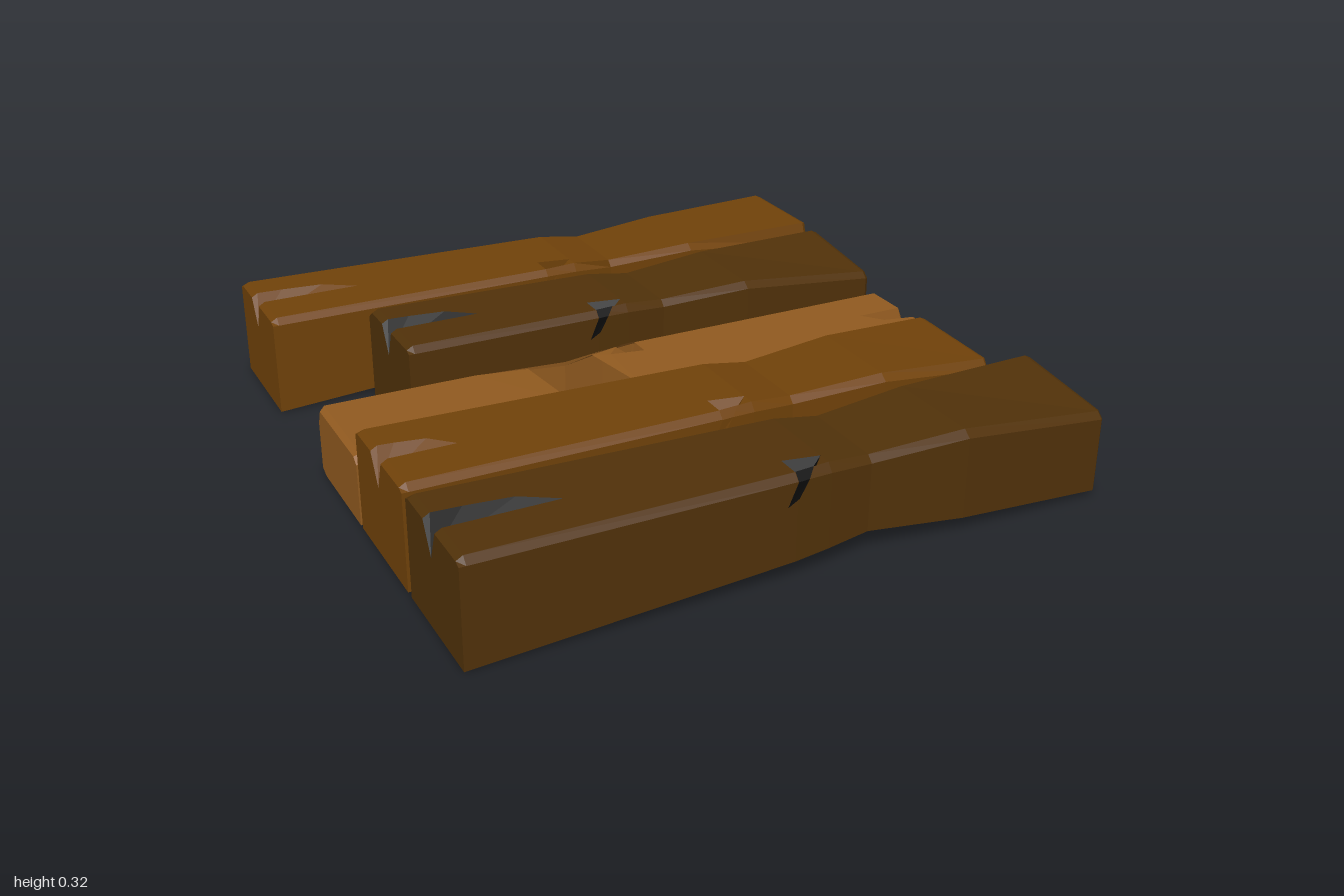
import * as THREE from 'three';

const mat = (name, color) => {
  const m = new THREE.MeshStandardMaterial({ color, side: THREE.DoubleSide, flatShading: true });
  m.name = name;
  return m;
};

// Plank shape along its length:
// [x, topY, backEdgeY, backInnerZ, frontZ, frontInnerZ, frontEdgeY, frontBottomY, bottomInnerZ]
const KEYS = [
  [-1.00, 0.32, 0.300, -0.170, 0.190, 0.170, 0.30, 0.000, 0.18],
  [-0.05, 0.32, 0.253, -0.130, 0.190, 0.170, 0.30, 0.057, 0.06],
  [0.06, 0.32, 0.247, -0.125, 0.180, 0.160, 0.295, 0.063, 0.04],
  [0.20, 0.30, 0.240, -0.120, 0.160, 0.140, 0.28, 0.070, 0.02],
  [0.50, 0.32, 0.262, -0.140, 0.190, 0.165, 0.30, 0.050, 0.08],
  [1.00, 0.32, 0.295, -0.170, 0.190, 0.170, 0.25, 0.020, 0.16],
];
const UP = new THREE.Vector3(0, 1, 0);
const v = (x, y, z) => new THREE.Vector3(x, y, z);

function keyAt(x) {
  let i = 0;
  while (i < KEYS.length - 2 && x > KEYS[i + 1][0]) i++;
  const a = KEYS[i], b = KEYS[i + 1], t = (x - a[0]) / (b[0] - a[0]);
  return a.map((n, k) => n + (b[k] - n) * t);
}

// Collects triangles, each turned to face the given outward direction
class Faces {
  constructor() { this.pos = []; }
  tri(a, b, c, out) {
    const n = b.clone().sub(a).cross(c.clone().sub(a));
    const order = n.dot(out) < 0 ? [a, c, b] : [a, b, c];
    order.forEach((p) => this.pos.push(p.x, p.y, p.z));
  }
  quad(a, b, c, d, out) { this.tri(a, b, c, out); this.tri(a, c, d, out); }
  // Outline of any shape, triangulated as seen along one axis
  poly(points, flat, out) {
    const ids = THREE.ShapeUtils.triangulateShape(points.map(flat), []);
    ids.forEach(([a, b, c]) => this.tri(points[a], points[b], points[c], out));
  }
  // Sunken pit: an open rim joined to a low point
  pit(rim, low) {
    for (let i = 0; i < rim.length - 1; i++) this.tri(rim[i], rim[i + 1], low, UP);
  }
  mesh(name, material) {
    const g = new THREE.BufferGeometry();
    g.setAttribute('position', new THREE.Float32BufferAttribute(this.pos, 3));
    g.computeVertexNormals();
    const m = new THREE.Mesh(g, material);
    m.name = name;
    return m;
  }
}

const flatXY = (p) => new THREE.Vector2(p.x, p.y);
const flatXZ = (p) => new THREE.Vector2(p.x, p.z);
const flatZY = (p) => new THREE.Vector2(p.z, p.y);

function makePlank({ name, x0, x1, crack, wood, crackWood, open = false, broken = false,
  endLift = 0, nearDrop = 0.012, crackDepth = 0.09, endDrop = [0, 0] }) {
  const group = new THREE.Group();
  group.name = name;
  const body = new Faces(), cracks = new Faces();
  const xb = x0 + 0.02, xe = x1 - 0.02;
  const openNick = open && !broken;

  // Cross-section from the bottom back edge over the top to the underside
  const topAt = (x) => keyAt(x)[1] - nearDrop * Math.max(0, (xb - x) / 0.02);
  const ring = (x) => {
    const [, , by, bz, fz, fi, fy, bf, bi] = keyAt(x);
    const lift = endLift * Math.max(0, (x - 0.2) / (x1 - 0.2));
    const [backTop, frontTop] = endDrop.map((d) => topAt(x) - d * Math.max(0, (x - 0.5) / (x1 - 0.5)));
    const widen = broken && x === 0.2 ? 0.018 : 0;
    return [v(x, lift, -0.19), v(x, Math.min(by, backTop), -0.19),
      v(x, backTop, bz - widen), v(x, frontTop, fi + widen),
      v(x, Math.min(fy, frontTop), fz), v(x, Math.max(bf, lift), fz), v(x, lift, bi)];
  };
  const back = (x) => ring(x)[2], front = (x) => ring(x)[3];
  const onTop = (x, z) => v(x, topAt(x), z);

  // Walls, edge bevels and underside
  const xs = [x0, xb, -0.05, 0.06, 0.2, 0.5, xe];
  const dirs = [v(0, 0, -1), v(0, 1, -1), UP, v(0, 1, 1), v(0, 0, 1), v(0, -1, 1), v(0, -1, 0)];
  for (let s = 0; s < xs.length - 1; s++) {
    const a = ring(xs[s]), b = ring(xs[s + 1]);
    for (let i = 0; i < 7; i++) {
      if (i === 2 || (i > 4 && open)) continue;
      const j = (i + 1) % 7;
      // A splinter is missing from the bevel beside an open nick
      if (openNick && i === 3 && xs[s] === 0.06) body.tri(a[3], a[4], b[4], dirs[i]);
      else body.quad(a[i], a[j], b[j], b[i], dirs[i]);
    }
  }

  // Bevelled far end
  const e = ring(xe);
  const cap = e.map((p, i) => v(x1, i > 0 && i < 5 ? p.y - 0.01 : p.y, p.z > 0.15 ? p.z - 0.02 : p.z));
  for (let i = 0; i < (open ? 5 : 7); i++) {
    const j = (i + 1) % 7;
    body.quad(e[i], e[j], cap[j], cap[i], v(0.5, 0, 0).add(dirs[i]));
  }
  body.poly(cap, flatZY, v(1, 0, 0));

  // End crack and edge nick, cut out of the top
  const low = v(x0, 0.32 - nearDrop - crackDepth, -0.01);
  const rimFront = onTop(x0, 0.025), rimBack = onTop(x0, -0.06);
  const rim = [onTop(xb, 0.025), onTop(x0 + crack, 0.025), onTop(x0 + crack * 0.7, -0.04),
    onTop(x0 + crack * 0.3, -0.055), onTop(xb, -0.06)];
  const nick = [front(0.02), onTop(0.06, 0.12), onTop(-0.05, 0.10), front(-0.05)];
  const stop = broken ? [back(0.07), front(0.11)] : [back(0.06), front(0.06)];
  body.poly([back(xb), back(-0.05), ...stop, ...nick, front(xb), ...rim], flatXZ, UP);
  body.quad(back(x0), back(xb), rim[4], rimBack, UP);
  body.quad(front(x0), front(xb), rim[0], rimFront, UP);
  cracks.pit([rimFront, ...rim, rimBack], low);
  if (!openNick) cracks.pit(nick, v(-0.04, 0.25, 0.165));

  // Rest of the top, with a wide gap when broken
  if (broken) {
    body.poly([back(0.30), back(0.5), back(xe), front(xe), front(0.5), front(0.33)], flatXZ, UP);
  } else {
    for (let s = 3; s < xs.length - 1; s++) {
      body.quad(back(xs[s]), front(xs[s]), front(xs[s + 1]), back(xs[s + 1]), UP);
    }
  }

  // Near end with the crack showing as a notch
  const r = ring(x0);
  body.poly([r[0], r[1], r[2], rimBack, low, rimFront, ...r.slice(3)], flatZY, v(-1, 0, 0));

  // Split running down the front wall under the nick
  cracks.poly([v(-0.08, 0.23, 0.192), v(-0.045, 0.25, 0.192), v(-0.015, 0.3, 0.189), v(-0.05, 0.3, 0.192)],
    flatXY, v(0, 0, 1));
  if (!openNick) {
    cracks.quad(v(-0.05, 0.3, 0.192), v(-0.015, 0.3, 0.189), v(0.01, 0.322, 0.167),
      v(-0.05, 0.322, 0.172), v(0, 1, 1));
  }

  group.add(body.mesh('plankBody', wood), cracks.mesh('plankCracks', crackWood));
  return group;
}

export function createModel() {
  const model = new THREE.Group();
  model.name = 'plankFloor';
  const dark = mat('darkWood', 0x503109);
  const medium = mat('mediumWood', 0x6f4109);
  const light = mat('lightWood', 0x8f591f);
  const black = mat('blackCrack', 0x0a0a0a);

  const planks = [
    { name: 'backPlank', z: -0.81, x0: -1, x1: 0.99, crack: 0.33, wood: medium, crackWood: medium, open: true },
    { name: 'shortDarkPlank', z: -0.41, x0: -0.69, x1: 0.99, crack: 0.29, wood: dark, crackWood: black,
      endDrop: [0.01, 0.05] },
    { name: 'brokenPlank', z: 0.005, x0: -0.99, x1: 1, crack: 0.17, wood: light, crackWood: light,
      open: true, broken: true, nearDrop: 0.075, crackDepth: 0.12 },
    { name: 'shortPlank', z: 0.402, x0: -1, x1: 0.89, crack: 0.22, wood: medium, crackWood: medium,
      endLift: 0.05, endDrop: [0.02, 0.03] },
    { name: 'frontPlank', z: 0.81, x0: -1, x1: 0.99, crack: 0.35, wood: dark, crackWood: black,
      endDrop: [0.01, 0.05] },
  ];
  for (const p of planks) {
    const plank = makePlank(p);
    plank.position.z = p.z;
    // The broken plank is thinner and laid the other way round
    if (p.broken) {
      plank.rotation.y = Math.PI;
      plank.scale.y = 0.68;
    }
    model.add(plank);
  }
  return model;
}
